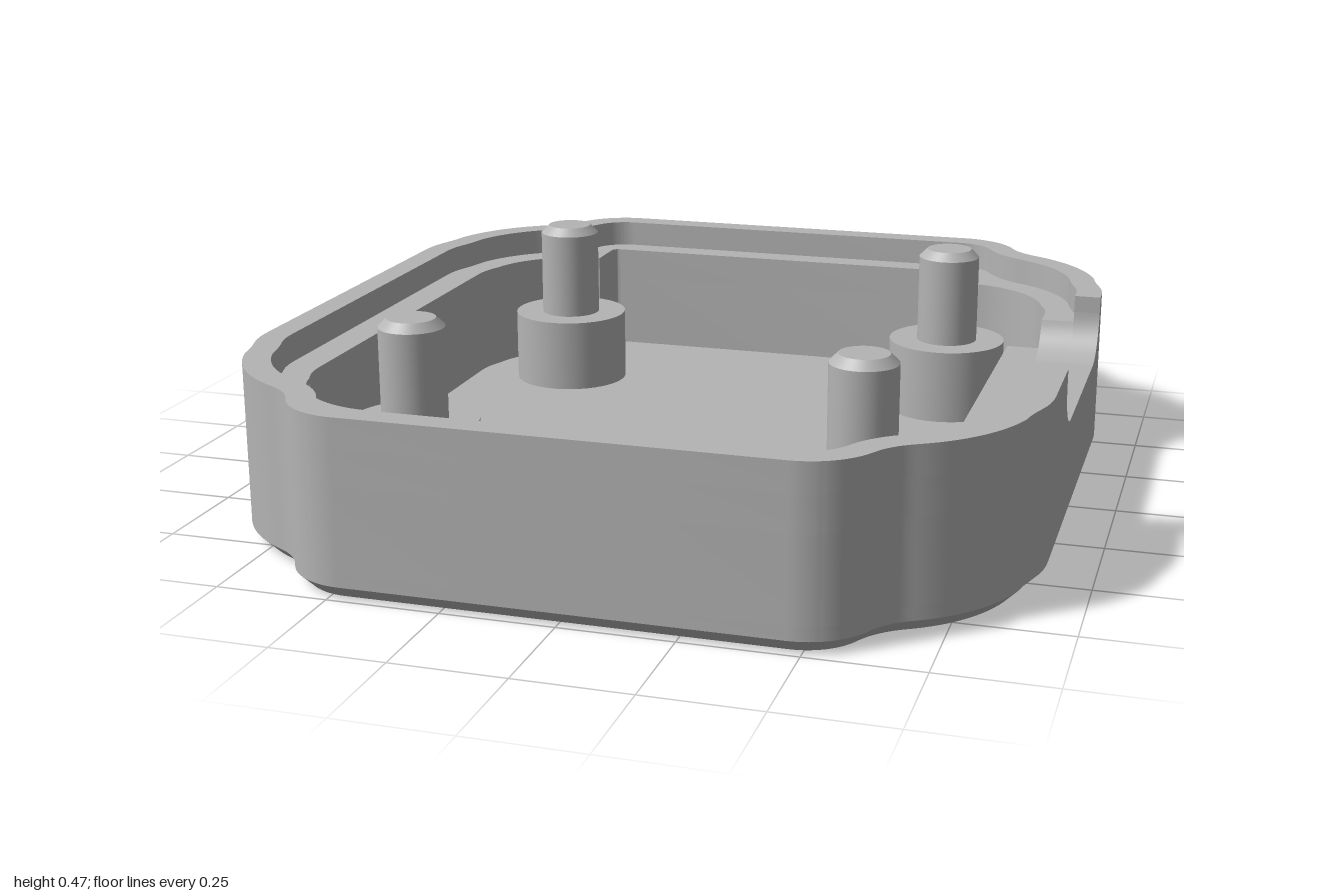
import * as THREE from 'three';
import { toCreasedNormals } from 'three/addons/utils/BufferGeometryUtils.js';

const FLOOR = 0.06, SILL = 0.25, LEDGE = 0.33, RIM = 0.395;
const NOTCH = [-0.425, 0.233]; // z extent of the side opening

const V = (x, z) => new THREE.Vector2(x, z);

// Mirrors a quarter outline (from the +x side to the +z side) into a closed loop
function mirrorQuarter(path) {
  const q = path.getPoints(10);
  const r = [...q].reverse();
  return [
    ...q, ...r.map(p => V(-p.x, p.y)),
    ...q.map(p => V(-p.x, -p.y)), ...r.map(p => V(p.x, -p.y)),
  ];
}

// Moves each point of a loop inward along its normal
function inset(loop, d) {
  const n = loop.length;
  return loop.map((p, i) => {
    const t = loop[(i + 1) % n].clone().sub(loop[(i + n - 1) % n]).normalize();
    return V(p.x - t.y * d, p.y + t.x * d);
  });
}

// Horizontal slab between two heights
function slab(shape, y0, y1) {
  const g = new THREE.ExtrudeGeometry(shape, { depth: y1 - y0, bevelEnabled: false });
  g.rotateX(Math.PI / 2).translate(0, y1, 0);
  return toCreasedNormals(g, 0.6);
}

// Wall band left open at the notch
function openBand(outer, inner) {
  const ends = loop => [V(loop[0].x, NOTCH[1]), ...loop, V(loop[0].x, NOTCH[0])];
  return new THREE.Shape([...ends(outer), ...ends(inner).reverse()]);
}

// Sloping side strip between two loops
function strip(bottom, y0, top, y1) {
  const pos = [], idx = [], n = bottom.length;
  for (let i = 0; i < n; i++) {
    pos.push(bottom[i].x, y0, bottom[i].y, top[i].x, y1, top[i].y);
    const b = 2 * i, c = 2 * ((i + 1) % n);
    idx.push(b, b + 1, c, c, b + 1, c + 1);
  }
  const g = new THREE.BufferGeometry();
  g.setAttribute('position', new THREE.Float32BufferAttribute(pos, 3));
  g.setIndex(idx);
  g.computeVertexNormals();
  return toCreasedNormals(g, 0.6);
}

// Rounded lower corner of the notch, running through the wall from x0 to x1
function notchCorner(z, dir, x0, x1, yMax) {
  const r = 0.105, cy = SILL + r;
  const aMax = yMax >= cy ? Math.PI / 2 : Math.acos((cy - yMax) / r);
  const pts = [];
  for (let i = 0; i <= 12; i++) {
    const a = aMax * i / 12;
    pts.push(V(-(z + dir * r * (1 - Math.sin(a))), cy - r * Math.cos(a)));
  }
  if (yMax < cy) pts.push(V(-z, yMax));
  pts.push(V(-z, SILL));
  const g = new THREE.ExtrudeGeometry(new THREE.Shape(pts), { depth: x1 - x0, bevelEnabled: false });
  g.rotateY(Math.PI / 2).translate(x0, 0, 0);
  return toCreasedNormals(g, 0.6);
}

export function createModel() {
  const group = new THREE.Group();
  const grey = new THREE.MeshStandardMaterial({ color: 0xb4b4b4 });
  grey.name = 'grey plastic';

  const add = (name, geometry, x = 0, y = 0, z = 0) => {
    const mesh = new THREE.Mesh(geometry, grey);
    mesh.name = name;
    mesh.position.set(x, y, z);
    group.add(mesh);
  };

  // Outer outline: bulging around each post, with rounded ends
  const outerPath = new THREE.Path();
  outerPath.moveTo(0.9, 0.44);
  outerPath.bezierCurveTo(0.9, 0.53, 0.876, 0.54, 0.8635, 0.6193);
  outerPath.absarc(0.51, 0.51, 0.37, 0.3, 1.07, false);
  outerPath.quadraticCurveTo(0.637, 0.862, 0.615, 0.908);
  outerPath.absarc(0.47, 0.84, 0.16, 0.44, Math.PI / 2, false);
  const outer = mirrorQuarter(outerPath);
  const lip = inset(outer, 0.062);

  // Inner cavity outline
  const innerPath = new THREE.Path();
  innerPath.moveTo(0.76, 0.47);
  innerPath.quadraticCurveTo(0.76, 0.52, 0.74, 0.5615);
  innerPath.absarc(0.51, 0.51, 0.236, 0.22, Math.PI / 2, false);
  innerPath.lineTo(0.51, 0.85);
  innerPath.quadraticCurveTo(0.51, 0.87, 0.49, 0.87);
  const inner = mirrorQuarter(innerPath);

  // Chamfered underside and floor
  const foot = inset(outer, 0.03);
  add('bottomFace', new THREE.ShapeGeometry(new THREE.Shape(foot)).rotateX(Math.PI / 2));
  add('bottomChamfer', strip(foot, 0, outer, 0.03));
  add('floor', slab(new THREE.Shape(outer), 0.03, FLOOR));

  // Walls: closed below the notch, open above it, thinner at the rim
  const wall = new THREE.Shape(outer);
  wall.holes.push(new THREE.Path(inner));
  add('lowerWall', slab(wall, FLOOR, SILL));
  add('upperWall', slab(openBand(outer, inner), SILL, LEDGE));
  add('rim', slab(openBand(outer, lip), LEDGE, RIM));

  // Rounded notch corners
  NOTCH.forEach((z, i) => {
    const dir = i === 0 ? 1 : -1;
    add('notchCornerOuter', notchCorner(z, dir, lip[0].x, 0.9, RIM));
    add('notchCornerInner', notchCorner(z, dir, 0.76, lip[0].x, LEDGE));
  });

  // Support block under the notch
  add('supportBlock', new THREE.BoxGeometry(0.1, 0.18, 0.76), 0.72, 0.15, -0.1);

  // Four stepped mounting posts
  for (const x of [-0.51, 0.51]) {
    for (const z of [-0.51, 0.51]) {
      add('postBase', new THREE.CylinderGeometry(0.145, 0.145, 0.18, 48), x, 0.15, z);
      add('postPin', new THREE.CylinderGeometry(0.075, 0.075, 0.215, 40), x, 0.3475, z);
      add('postTip', new THREE.CylinderGeometry(0.055, 0.075, 0.02, 40), x, 0.465, z);
    }
  }
  return group;
}
